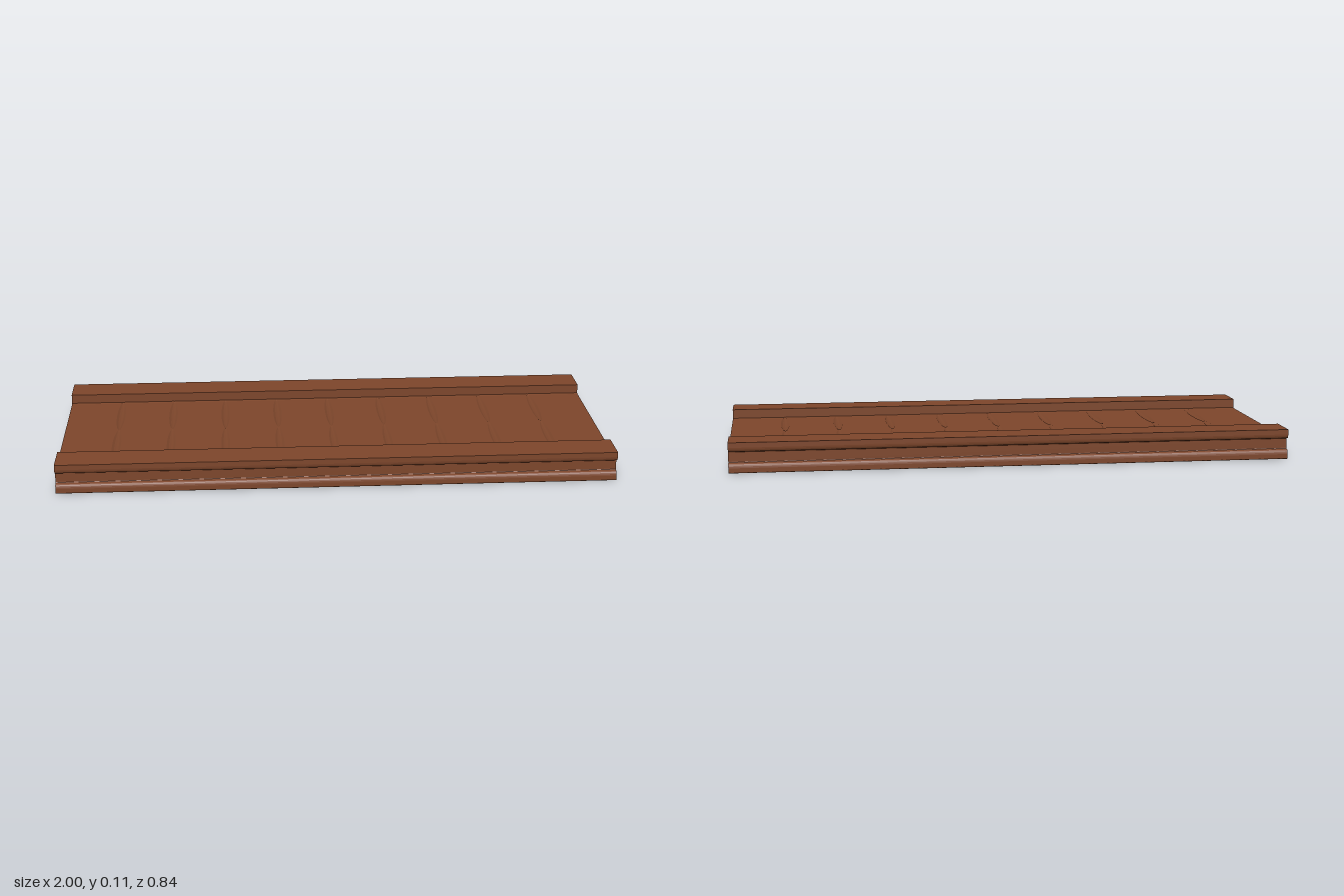
import * as THREE from 'three';

const material = new THREE.MeshStandardMaterial({ color: 0x7d462b });

// Side rail: block with a rounded channel along its outer face.
function rail(side) {
  const s = new THREE.Shape();
  const p = (z) => -side * z;
  s.moveTo(p(0.302), 0);
  s.lineTo(p(0.419), 0);
  s.quadraticCurveTo(p(0.422), 0, p(0.422), 0.003);
  s.lineTo(p(0.422), 0.018);
  s.bezierCurveTo(p(0.421), 0.031, p(0.416), 0.034, p(0.409), 0.034);
  s.quadraticCurveTo(p(0.403), 0.034, p(0.403), 0.038);
  s.lineTo(p(0.403), 0.07);
  s.quadraticCurveTo(p(0.403), 0.074, p(0.409), 0.074);
  s.bezierCurveTo(p(0.416), 0.074, p(0.421), 0.077, p(0.422), 0.09);
  s.lineTo(p(0.422), 0.108);
  s.lineTo(p(0.297), 0.108);
  s.lineTo(p(0.297), 0.004);
  s.quadraticCurveTo(p(0.297), 0, p(0.302), 0);
  const g = new THREE.ExtrudeGeometry(s, { depth: 2, bevelEnabled: false, curveSegments: 6 });
  g.translate(0, 0, -1).rotateY(Math.PI / 2);
  const mesh = new THREE.Mesh(g, material);
  mesh.name = side > 0 ? 'frontRail' : 'backRail';
  return mesh;
}

// Deck panel: nine rows of paired, shallow lens-shaped grooves pressed into the top.
function deck() {
  const grooves = 9, across = 5, columns = grooves * across + 1;
  const half = 0.3, low = 0.037, high = 0.072;
  const g = new THREE.BoxGeometry(columns, 1, half * 2, columns, 1, 48);
  const pos = g.attributes.position;
  for (let i = 0; i < pos.count; i++) {
    const col = Math.round(pos.getX(i) + columns / 2);
    const top = pos.getY(i) > 0;
    const z = pos.getZ(i);
    const lens = Math.sqrt(Math.max(0, Math.sin(Math.PI * Math.min(1, Math.abs(z) / half))));
    let x = col === 0 ? -1 : 1, dent = 0;
    if (col > 0 && col < columns) {
      const k = Math.floor((col - 1) / across);
      const t = ((col - 1) % across) / 2 - 1;
      x = -0.8 + 0.2 * k + t * Math.max(0.001, 0.016 * lens);
      dent = 0.006 * lens * (1 - t * t);
    }
    // slight swell where the panel meets the rails
    const flare = Math.abs(z) > 0.295 ? 0.003 : 0;
    pos.setXYZ(i, x, top ? high - dent + flare : low - flare, z);
  }
  const flat = g.toNonIndexed();
  flat.computeVertexNormals();
  const mesh = new THREE.Mesh(flat, material);
  mesh.name = 'deckPanel';
  return mesh;
}

export function createModel() {
  const group = new THREE.Group();
  group.name = 'walkway';
  group.add(deck(), rail(1), rail(-1));
  return group;
}
